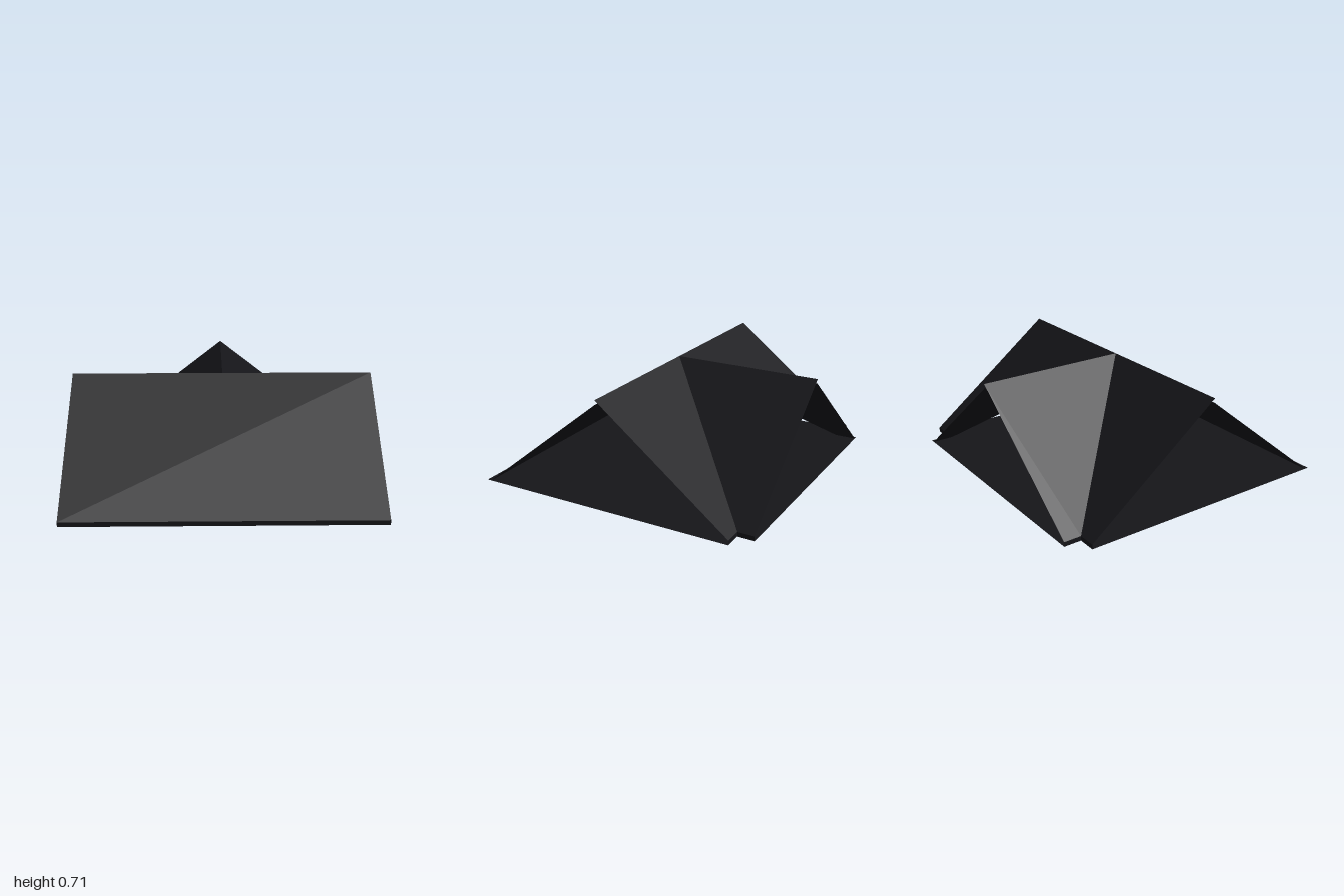
import * as THREE from 'three';

const HALF_LENGTH = 1;    // half of the main ridge
const RIDGE_Z = 0.0575;   // main ridge position
const BACK_Z = -0.9425;   // open end of the rear gable

const material = new THREE.MeshStandardMaterial({ color: 0x151519, flatShading: true });
const floorMaterial = material.clone();
floorMaterial.side = THREE.DoubleSide;

// Flat convex panel from its corners, wound so that it faces the given direction
function panel(name, corners, facing, mat = material) {
  const pts = corners.map((c) => new THREE.Vector3(...c));
  const normal = pts[1].clone().sub(pts[0]).cross(pts[2].clone().sub(pts[0]));
  if (normal.dot(new THREE.Vector3(...facing)) < 0) pts.reverse();
  const geometry = new THREE.BufferGeometry().setFromPoints(pts);
  const index = [];
  for (let i = 1; i < pts.length - 1; i++) index.push(0, i, i + 1);
  geometry.setIndex(index);
  geometry.computeVertexNormals();
  const mesh = new THREE.Mesh(geometry, mat);
  mesh.name = name;
  return mesh;
}

// One skin of the T-shaped roof: w = half span, h = ridge height, e = eave height,
// out = 1 for the outer skin, -1 for the underside
function roofSkin(label, w, h, e, out) {
  const skin = new THREE.Group();
  skin.name = label;
  const L = HALF_LENGTH, front = RIDGE_Z + w, back = RIDGE_Z - w;
  skin.add(panel(label + 'FrontSlope',
    [[-L, e, front], [L, e, front], [L, h, RIDGE_Z], [-L, h, RIDGE_Z]], [0, out, out]));
  for (const s of [-1, 1]) {
    // rear slope on each side of the valley
    skin.add(panel(label + 'RearSlope',
      [[0, h, RIDGE_Z], [s * L, h, RIDGE_Z], [s * L, e, back], [s * w, e, back]], [0, out, -out]));
    // slope of the rear cross gable
    skin.add(panel(label + 'CrossGableSlope',
      [[0, h, RIDGE_Z], [s * w, e, back], [s * w, e, BACK_Z], [0, h, BACK_Z]], [s * out, out, 0]));
  }
  return skin;
}

export function createModel() {
  const roof = new THREE.Group();
  roof.name = 'crossGableRoof';
  const L = HALF_LENGTH, w = 0.885, e = 0.03;
  const front = RIDGE_Z + w, back = RIDGE_Z - w;

  roof.add(roofSkin('outer', w, 0.715, e, 1));
  roof.add(roofSkin('underside', w - e, 0.685, 0, -1));

  // Vertical boards along the eaves
  const fascia = (name, a, b, facing) => roof.add(panel(name,
    [[a[0], 0, a[1]], [b[0], 0, b[1]], [b[0], e, b[1]], [a[0], e, a[1]]], facing));
  fascia('frontFascia', [-L, front], [L, front], [0, 0, 1]);
  for (const s of [-1, 1]) {
    fascia('rearFascia', [s * w, back], [s * L, back], [0, 0, -1]);
    fascia('crossGableFascia', [s * w, back], [s * w, BACK_Z], [s, 0, 0]);
  }

  // Ceiling plane closing the bottom
  const floor = (name, x, z0, z1) => roof.add(panel(name,
    [[-x, 0, z0], [x, 0, z0], [x, 0, z1], [-x, 0, z1]], [0, -1, 0], floorMaterial));
  floor('mainBase', L, front, back);
  floor('crossGableBase', w, back, BACK_Z);
  return roof;
}
